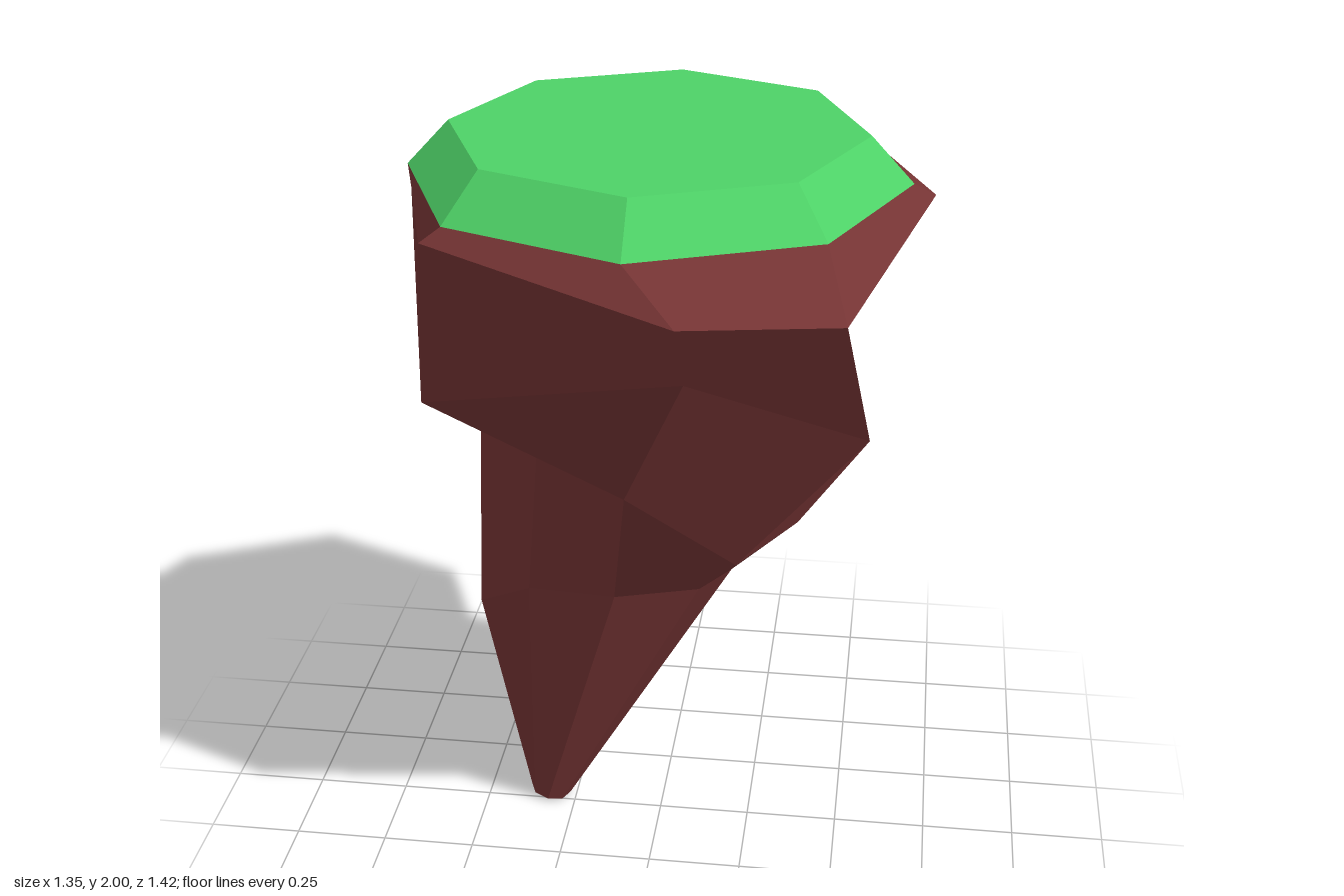
import * as THREE from 'three';

const SIDES = 8;

// Regular octagon ring, running from +x towards +z
function octagon(cx, cz, radius, height) {
  return Array.from({ length: SIDES }, (_, i) => {
    const a = (i / SIDES) * Math.PI * 2;
    const x = cx + radius * Math.cos(a);
    return new THREE.Vector3(x, height(x), cz + radius * Math.sin(a));
  });
}

const ring = (points) => points.map((p) => new THREE.Vector3(...p));

// Faceted skin over a stack of rings listed from top to bottom. Each quad has
// one flat normal; bands listed in folded are split along the other diagonal.
function loft(rings, { capTop = false, capBottom = false, folded = [] }) {
  const pos = [], nor = [];
  const tri = (n, ...pts) => pts.forEach((p) => {
    pos.push(p.x, p.y, p.z);
    nor.push(n.x, n.y, n.z);
  });
  for (let r = 0; r < rings.length - 1; r++) {
    for (let j = 0; j < SIDES; j++) {
      const k = (j + 1) % SIDES;
      const a = rings[r][j], b = rings[r][k], c = rings[r + 1][j], d = rings[r + 1][k];
      const n = d.clone().sub(a).cross(c.clone().sub(b)).normalize();
      if (folded.includes(r)) {
        tri(n, a, b, c);
        tri(n, b, d, c);
      } else {
        tri(n, a, b, d);
        tri(n, a, d, c);
      }
    }
  }
  const top = rings[0], bottom = rings[rings.length - 1];
  const up = new THREE.Vector3(0, 1, 0), down = new THREE.Vector3(0, -1, 0);
  for (let j = 1; j < SIDES - 1; j++) {
    if (capTop) tri(up, top[0], top[j + 1], top[j]);
    if (capBottom) tri(down, bottom[0], bottom[j], bottom[j + 1]);
  }
  const geo = new THREE.BufferGeometry();
  geo.setAttribute('position', new THREE.Float32BufferAttribute(pos, 3));
  geo.setAttribute('normal', new THREE.Float32BufferAttribute(nor, 3));
  return geo;
}

export function createModel() {
  const grass = new THREE.MeshStandardMaterial({ color: 0x4ed267 });
  grass.name = 'grass green';
  const earth = new THREE.MeshStandardMaterial({ color: 0x753434 });
  earth.name = 'earth brown';

  // Bevelled grass slab
  const grassTop = octagon(-0.012, -0.035, 0.522, () => 2);
  const grassEdge = octagon(-0.012, -0.032, 0.63, () => 1.885);

  // Irregular rock rings
  const rim = ring([
    [0.672, 1.86, -0.03], [0.49, 1.745, 0.56], [0.12, 1.78, 0.71], [-0.5, 1.86, 0.46],
    [-0.675, 1.77, -0.18], [-0.54, 1.77, -0.51], [-0.012, 1.86, -0.712], [0.475, 1.86, -0.51],
  ]);
  const shoulder = ring([
    [0.43, 1.595, -0.02], [0.55, 1.43, 0.475], [0.12, 1.57, 0.53], [-0.525, 1.44, 0.42],
    [-0.52, 1.45, -0.15], [-0.357, 1.48, -0.278], [0.07, 1.54, -0.555], [0.3, 1.595, -0.34],
  ]);
  const waist = ring([
    [0.37, 1.0, 0.09], [0.23, 0.985, 0.31], [-0.03, 1.23, 0.46], [-0.285, 1.34, 0.18],
    [-0.485, 1.335, -0.06], [-0.15, 1.235, -0.26], [0.077, 1.095, -0.437], [0.385, 1.04, -0.49],
  ]);
  const root = ring([
    [0.19, 0.78, -0.03], [0.12, 0.81, 0.14], [-0.095, 0.81, 0.21], [-0.335, 0.78, 0.14],
    [-0.51, 0.62, -0.05], [-0.51, 0.45, -0.21], [-0.27, 0.5, -0.29], [0.06, 0.7, -0.215],
  ]);
  // Small slanted tip
  const tip = octagon(-0.325, -0.035, 0.056, (x) => (-0.269 - x) * 0.18);

  const group = new THREE.Group();
  group.name = 'floatingIsland';
  const add = (name, geo, mat) => {
    const mesh = new THREE.Mesh(geo, mat);
    mesh.name = name;
    group.add(mesh);
  };
  add('grassSlab', loft([grassTop, grassEdge], { capTop: true }), grass);
  add('rock', loft([grassEdge, rim, shoulder, waist, root, tip], { capBottom: true, folded: [1, 2] }), earth);
  return group;
}
